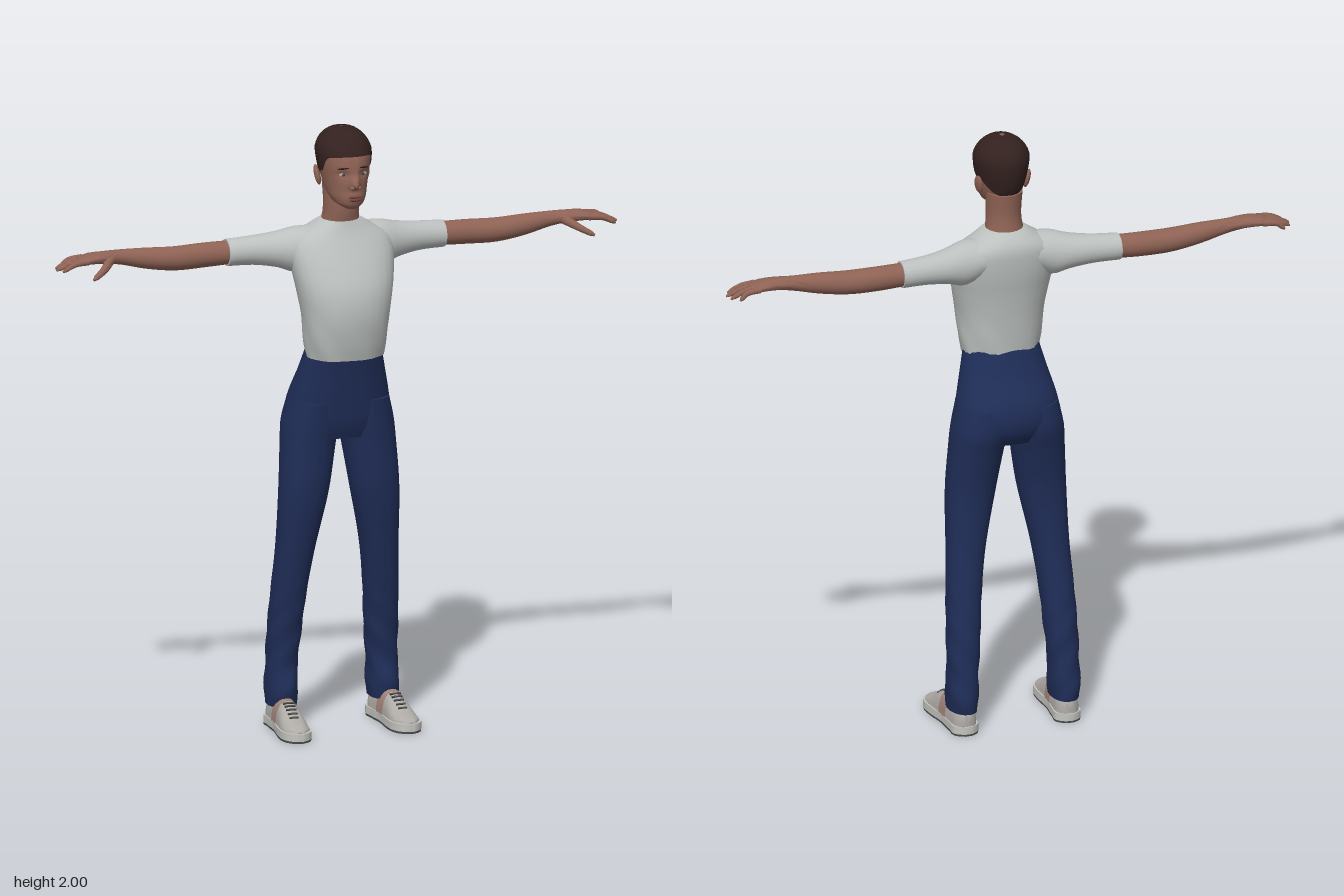
import * as THREE from 'three';
import { toCreasedNormals } from 'three/addons/utils/BufferGeometryUtils.js';

const V = (x, y, z) => new THREE.Vector3(x, y, z);
const mat = (name, color) => Object.assign(new THREE.MeshStandardMaterial({ color }), { name });

// Smooth lookup through rows of [key, ...values], keys rising
function sampler(rows) {
  const curve = new THREE.CubicInterpolant(rows.map(r => r[0]),
    new Float32Array(rows.flatMap(r => r.slice(1))), rows[0].length - 1);
  return t => Array.from(curve.evaluate(t));
}

const steps = (a, b, n) => Array.from({ length: n + 1 }, (_, i) => a + (b - a) * i / n);

// Closed ring of points; e below 1 makes it squarer
function ring(n, e, fn) {
  const pw = v => Math.sign(v) * Math.abs(v) ** e;
  return steps(0, Math.PI * 2, n).slice(0, n).map(a => fn(pw(Math.sin(a)), pw(Math.cos(a)), a));
}

// Skin a list of rings, cap the ends and turn the faces outward
function loft(rings, capped = true, crease = 0.8) {
  const n = rings[0].length, pts = rings.flat(), idx = [];
  for (let i = 0; i < rings.length - 1; i++) for (let j = 0; j < n; j++) {
    const a = i * n + j, b = i * n + (j + 1) % n;
    idx.push(a, b, a + n, b, b + n, a + n);
  }
  const last = (rings.length - 1) * n;
  if (capped) [[0, true], [last, false]].forEach(([s, first]) => {
    const c = V(0, 0, 0);
    for (let j = 0; j < n; j++) c.addScaledVector(pts[s + j], 1 / n);
    pts.push(c);
    for (let j = 0; j < n; j++) {
      const a = s + j, b = s + (j + 1) % n;
      idx.push(pts.length - 1, ...(first ? [b, a] : [a, b]));
    }
  });
  let volume = 0;
  for (let i = 0; i < idx.length; i += 3)
    volume += pts[idx[i]].dot(V(0, 0, 0).crossVectors(pts[idx[i + 1]], pts[idx[i + 2]]));
  if (volume < 0) idx.reverse();
  const g = new THREE.BufferGeometry().setFromPoints(pts);
  g.setIndex(idx);
  return toCreasedNormals(g, crease);
}

// Upright body form: rows of [y, half width, front z, back z, centre x]
function upright(rows, n, e = 1, s = 1, fold = () => 0) {
  const at = sampler(rows);
  return loft(steps(rows[0][0], rows[rows.length - 1][0], n).map(y => {
    const [w, f, b, cx = 0] = at(y);
    return ring(28, e, (u, v, a) => V(s * (cx + w * u * (1 + fold(y, a))), y, (f + b) / 2 + (f - b) / 2 * v * (1 + fold(y, a))));
  }));
}

// Sideways limb: rows of [x, centre y, half height, centre z, half depth]
function sideways(rows, n, s) {
  const at = sampler(rows);
  return loft(steps(rows[0][0], rows[rows.length - 1][0], n).map(x => {
    const [cy, ry, cz, rz] = at(x);
    return ring(20, 1, (u, v) => V(s * x, cy + ry * u, cz + rz * v));
  }));
}

// Tapered finger along a few points
function finger(points, r0, r1) {
  const curve = new THREE.CatmullRomCurve3(points);
  return loft(steps(0, 1, 8).map(t => {
    const c = curve.getPoint(t), d = curve.getTangent(t);
    const side = V(0, 1, 0).cross(d).normalize(), up = d.clone().cross(side);
    const r = (r0 + (r1 - r0) * t) * (t > 0.95 ? 0.5 : 1);
    return ring(8, 1, (u, v) => c.clone().addScaledVector(side, r * u).addScaledVector(up, r * v));
  }));
}

// Head surface with nose, brow and eye sockets
const skull = sampler([
  [1.752, .022, .124, .07], [1.765, .044, .132, .02], [1.785, .058, .135, -.02], [1.81, .066, .134, -.05],
  [1.85, .074, .134, -.068], [1.9, .083, .133, -.079], [1.94, .084, .121, -.079], [1.97, .067, .095, -.064],
  [1.985, .049, .073, -.044], [1.995, .028, .048, -.018], [2, .004, .02, .01]]);
const bump = (d, r) => Math.exp(-d * d / (r * r));
function headPoint(a, y, grow = 0) {
  const [w, f, b] = skull(y), x = (w + grow) * Math.sin(a);
  let z = (f + b) / 2 + ((f - b) / 2 + grow) * Math.cos(a);
  if (Math.cos(a) > 0) {
    z += bump(x, .013) * (.032 * bump(y - 1.833, y < 1.833 ? .011 : .026));
    z -= .009 * bump(Math.abs(x) - .033, .017) * bump(y - 1.866, .013);
    z += .005 * bump(x, .024) * bump(y - 1.79, .012);
  }
  return V(x, y + grow * Math.max(0, (y - 1.95) / .05), z);
}
const facePoint = (x, y) => headPoint(Math.asin(x / skull(y)[0]), y);

export function createModel() {
  const model = new THREE.Group();
  const skin = mat('skin', 0x8f6355), hair = mat('hair', 0x33211f), cloth = mat('shirt cloth', 0xbcc1bf);
  const denim = mat('denim', 0x1f2d57), leather = mat('shoe leather', 0xaeaaa6), rubber = mat('sole rubber', 0xc4c4c0);
  const dark = mat('dark grey', 0x4a4a4b), lip = mat('lips', 0x74453f), patch = mat('shoe panel', 0xa5857a);
  const white = mat('eye white', 0xb5aaa4);
  const add = (name, geo, m, parent = model) => {
    const mesh = new THREE.Mesh(geo, m);
    mesh.name = name;
    parent.add(mesh);
    return mesh;
  };
  const blob = (name, m, p, sx, sy, sz, parent) => {
    const mesh = add(name, new THREE.SphereGeometry(1, 16, 10), m, parent);
    mesh.position.copy(p);
    mesh.scale.set(sx, sy, sz);
    return mesh;
  };

  // Head, neck and hair cap
  const head = new THREE.Group();
  head.name = 'head';
  model.add(head);
  const rise = (lo, n) => steps(0, 1, n).map(t => lo + (2 - lo) * Math.sin(t * Math.PI / 2));
  add('face', loft(rise(1.752, 56).map(y => ring(64, 1, (u, v, a) => headPoint(a, y))), true, 1.2), skin, head);
  add('neck', upright([[1.65, .075, .045, -.075], [1.7, .06, .058, -.066], [1.74, .057, .064, -.061], [1.82, .06, .06, -.068]], 8), skin, head);
  const hairline = sampler([[0, 1.926], [.6, 1.923], [1.05, 1.912], [1.35, 1.872], [1.9, 1.862], [2.4, 1.83], [3.15, 1.808]]);
  add('hairCap', loft(steps(0, 1, 16).map(t => ring(56, 1, (u, v, a) => {
    const lo = hairline(Math.min(a, Math.PI * 2 - a))[0];
    return headPoint(a, lo + (2 - lo) * Math.sin(t * Math.PI / 2), .004);
  })), false), hair, head).material.side = THREE.DoubleSide;

  // Facial features
  for (const s of [-1, 1]) {
    const eye = facePoint(s * .033, 1.866);
    blob('eye', white, eye, .014, .006, .004, head);
    blob('iris', dark, eye.clone().add(V(0, 0, .002)), .0055, .0055, .004, head);
    const brow = blob('eyebrow', hair, facePoint(s * .035, 1.888), .019, .003, .003, head);
    brow.rotation.set(0, s * .4, -s * .1);
    blob('nostril', skin, facePoint(s * .011, 1.826), .008, .006, .009, head);
    const ear = blob('ear', skin, V(s * .082, 1.845, .005), .01, .034, .019, head);
    ear.rotation.set(-.2, s * .35, -s * .15);
  }
  blob('upperLip', lip, facePoint(0, 1.794).add(V(0, 0, -.002)), .023, .005, .006, head);
  blob('lowerLip', lip, facePoint(0, 1.785).add(V(0, 0, -.002)), .02, .006, .006, head);

  // Shirt body with soft folds near the waist
  add('shirtBody', upright([[1.25, .125, .135, -.062], [1.3, .134, .148, -.067], [1.4, .145, .163, -.077], [1.48, .159, .154, -.088],
    [1.55, .17, .125, -.1], [1.6, .172, .099, -.105], [1.64, .155, .078, -.105], [1.668, .108, .066, -.094], [1.695, .064, .058, -.068]],
  28, .88, 1, (y, a) => .022 * Math.sin(a * 7 + y * 30) * Math.max(0, (1.42 - y) / .17)), cloth);

  // Trouser seat
  add('trouserSeat', upright([[.975, .15, .058, -.115], [1.02, .176, .074, -.143], [1.1, .167, .087, -.146], [1.2, .142, .101, -.095],
    [1.28, .122, .115, -.063]], 16, .88), denim);

  for (const s of [-1, 1]) {
    const side = s > 0 ? 'left' : 'right';

    // Sleeve, arm and hand
    add(side + 'Sleeve', sideways([[.08, 1.61, .06, -.025, .07], [.15, 1.595, .074, -.03, .067], [.2, 1.596, .06, -.042, .058],
      [.28, 1.597, .048, -.054, .047], [.37, 1.595, .044, -.06, .044]], 14, s), cloth);
    const arm = new THREE.Group();
    arm.name = side + 'Arm';
    model.add(arm);
    add('armAndPalm', sideways([[.34, 1.596, .038, -.06, .038], [.45, 1.593, .04, -.062, .038], [.55, 1.592, .039, -.057, .039],
      [.65, 1.602, .034, -.055, .033], [.74, 1.614, .024, -.055, .025], [.79, 1.618, .02, -.05, .032], [.84, 1.618, .017, -.05, .039],
      [.88, 1.612, .012, -.05, .036]], 26, s), skin, arm);
    [[-.081, -.09, .925], [-.06, -.067, .95], [-.039, -.04, .956], [-.019, -.013, .943]].forEach(([z0, z1, tip]) =>
      add('finger', finger([V(s * .855, 1.616, z0), V(s * .9, 1.611, (z0 + z1) / 2), V(s * tip, 1.591, z1)], .0115, .007), skin, arm));
    add('thumb', finger([V(s * .775, 1.612, -.035), V(s * .81, 1.592, .008), V(s * .855, 1.568, .035)], .017, .008), skin, arm);

    // Trouser leg, wrinkled below the knee
    add(side + 'TrouserLeg', upright([[.075, .046, -.022, -.16, .173], [.12, .05, -.012, -.165, .173], [.2, .049, -.028, -.154, .171],
      [.3, .053, -.02, -.146, .166], [.45, .056, .004, -.126, .157], [.6, .062, .03, -.106, .143], [.8, .08, .062, -.1, .12],
      [.95, .087, .068, -.125, .103], [1.02, .089, .073, -.142, .094], [1.1, .075, .08, -.135, .088]], 48, .9, s,
    (y, a) => .03 * Math.sin(y * 55 + a * 3) * Math.max(0, Math.min(1, (.55 - y) / .25))), denim);

    // Shoe: dark tread, pale sole, leather upper, panel and laces
    const shoe = new THREE.Group();
    shoe.name = side + 'Shoe';
    shoe.position.x = s * .181;
    shoe.rotation.y = s * .06;
    model.add(shoe);
    const footprint = sampler([[-.16, .012], [-.145, .036], [-.09, .042], [-.02, .041], [.06, .05], [.11, .048], [.145, .028], [.156, .008]]);
    const zs = steps(-.16, .156, 30);
    const outline = [...zs.map(z => V(footprint(z)[0], 0, z)), ...zs.reverse().map(z => V(-footprint(z)[0], 0, z))];
    const slab = (y0, y1, k) => loft([y0, y1].map(y => outline.map(p => V(p.x * k, y, p.z * (k + 1) / 2))));
    add('tread', slab(0, .007, .98), dark, shoe);
    add('sole', slab(.007, .032, 1), rubber, shoe);
    const top = sampler([[-.155, .018, .075], [-.14, .033, .09], [-.08, .039, .1], [-.02, .039, .108], [.03, .043, .092],
      [.08, .046, .062], [.12, .039, .05], [.148, .014, .036]]);
    const hull = (z0, z1, n, grow) => loft(steps(z0, z1, n).map(z => {
      const [w, h] = top(z);
      return ring(24, .85, (u, v) => V((w + grow) * u, .025 + Math.max(0, v) * (h - .025 + grow), z));
    }));
    add('upper', hull(-.155, .148, 24, 0), leather, shoe);
    add('sidePanel', hull(-.05, -.002, 6, .002), patch, shoe);
    for (let i = 0; i < 5; i++) {
      const z = .012 + i * .015;
      const lace = add('lace', new THREE.BoxGeometry(.038 - i * .002, .005, .006), dark, shoe);
      lace.position.set(0, top(z)[1], z);
      lace.rotation.x = .5;
    }
  }
  return model;
}
